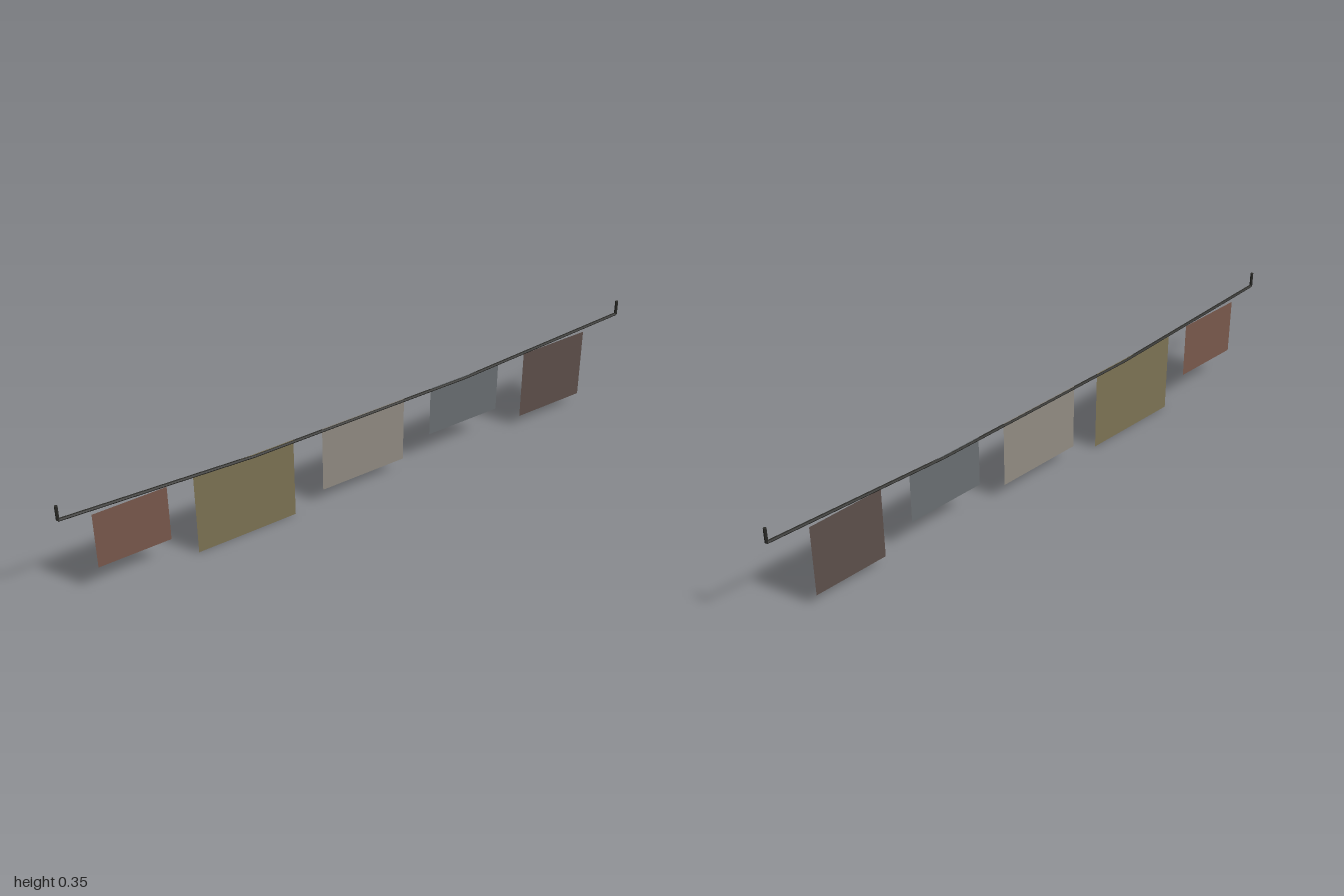
import * as THREE from 'three';

const ROPE_R = 0.005;

// Straight six-sided cord piece between two points
function cord(name, a, b, material) {
  const from = new THREE.Vector3(a[0], a[1], 0);
  const dir = new THREE.Vector3(b[0], b[1], 0).sub(from);
  const mesh = new THREE.Mesh(new THREE.CylinderGeometry(ROPE_R, ROPE_R, dir.length(), 6), material);
  mesh.name = name;
  mesh.position.copy(from).addScaledVector(dir, 0.5);
  mesh.quaternion.setFromUnitVectors(new THREE.Vector3(0, 1, 0), dir.normalize());
  return mesh;
}

export function createModel() {
  const model = new THREE.Group();
  model.name = 'clothesline';

  // Sagging line with a short upright tie at each end
  const rope = new THREE.MeshStandardMaterial({ color: 0x2b2b28, flatShading: true });
  const line = new THREE.Group();
  line.name = 'line';
  const end = 1 - ROPE_R;
  const points = [[-end, 0.349], [-end, 0.301], [-0.38, 0.27], [0.38, 0.27], [end, 0.301], [end, 0.349]];
  const names = ['rightTie', 'rightSpan', 'middleSpan', 'leftSpan', 'leftTie'];
  names.forEach((name, i) => line.add(cord(name, points[i], points[i + 1], rope)));
  model.add(line);

  // Hanging cloths: left edge, right edge, bottom, colour
  const top = 0.277;
  const cloths = [
    [-0.898, -0.667, 0.088, 0x7a5a4d],
    [-0.583, -0.25, 0, 0x7e7455],
    [-0.15, 0.146, 0.05, 0x938d84],
    [0.246, 0.509, 0.104, 0x6b7073],
    [0.612, 0.859, 0.036, 0x5e504b],
  ];
  cloths.forEach(([x0, x1, bottom, color], i) => {
    const cloth = new THREE.Mesh(
      new THREE.PlaneGeometry(x1 - x0, top - bottom),
      new THREE.MeshStandardMaterial({ color, side: THREE.DoubleSide })
    );
    cloth.name = `cloth${i + 1}`;
    cloth.position.set((x0 + x1) / 2, (top + bottom) / 2, 0);
    model.add(cloth);
  });

  return model;
}
